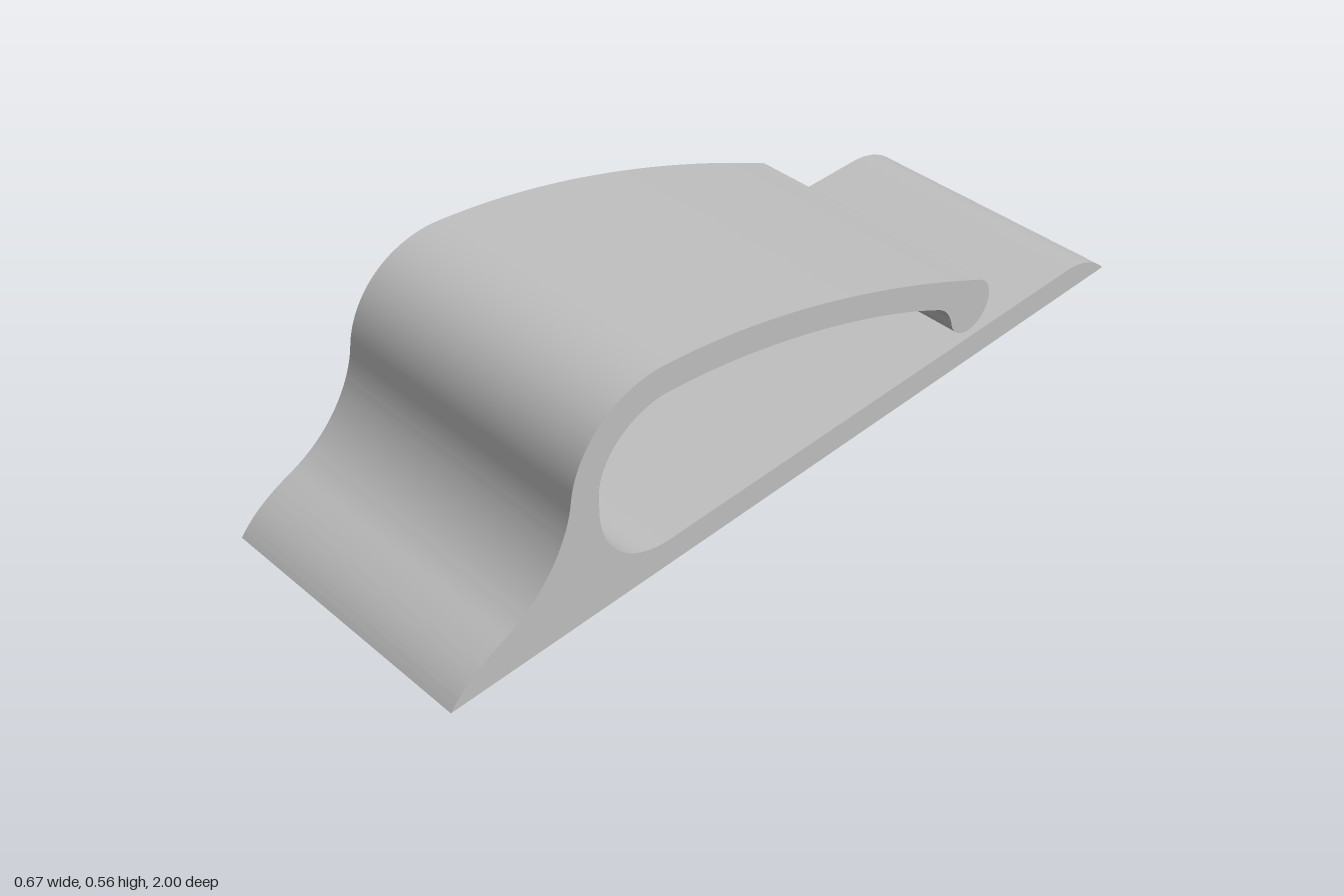
import * as THREE from 'three';
import { toCreasedNormals } from 'three/addons/utils/BufferGeometryUtils.js';

const WIDTH = 0.666;
const PAD_HEIGHT = 0.047;

// Side outline of base, hook and arm; shape x runs along the model's z
function clipProfile() {
  const s = new THREE.Shape();
  s.moveTo(1, PAD_HEIGHT);
  // front foot and concave rise
  s.bezierCurveTo(0.965, 0.09, 0.925, 0.115, 0.86, 0.142);
  s.bezierCurveTo(0.76, 0.185, 0.7, 0.28, 0.687, 0.364);
  // outer bend and top of the arm
  s.bezierCurveTo(0.672, 0.475, 0.585, 0.556, 0.46, 0.556);
  s.bezierCurveTo(0.15, 0.535, -0.2, 0.41, -0.514, 0.259);
  // rounded tip
  s.absarc(-0.487, 0.2, 0.065, THREE.MathUtils.degToRad(115), THREE.MathUtils.degToRad(350), false);
  s.quadraticCurveTo(-0.41, 0.23, -0.377, 0.248);
  // underside of the arm and inner loop
  s.bezierCurveTo(-0.13, 0.376, 0.2, 0.472, 0.447, 0.487);
  s.bezierCurveTo(0.54, 0.487, 0.618, 0.42, 0.618, 0.335);
  s.lineTo(0.618, 0.3);
  s.bezierCurveTo(0.618, 0.19, 0.54, 0.112, 0.436, 0.112);
  // base top and rear slope
  s.lineTo(-0.85, 0.112);
  s.bezierCurveTo(-0.91, 0.112, -0.965, 0.085, -1, PAD_HEIGHT);
  s.closePath();
  return s;
}

// Rounded-end pad with a round recess near each end
function padOutline() {
  const r = 0.212, end = 0.708;
  const s = new THREE.Shape();
  s.absarc(0, end, r, 0, Math.PI, false);
  s.absarc(0, -end, r, Math.PI, Math.PI * 2, false);
  s.closePath();
  for (const y of [-end, end]) {
    const hole = new THREE.Path();
    hole.absarc(0, y, 0.12, 0, Math.PI * 2, true);
    s.holes.push(hole);
  }
  return s;
}

function extrude(shape, depth) {
  const geometry = new THREE.ExtrudeGeometry(shape, { depth, bevelEnabled: false, curveSegments: 28 });
  return toCreasedNormals(geometry, 0.5);
}

export function createModel() {
  const model = new THREE.Group();
  model.name = 'clip';
  const grey = new THREE.MeshStandardMaterial({ color: 0xbfbfbf });
  grey.name = 'light grey';

  const body = new THREE.Mesh(extrude(clipProfile(), WIDTH), grey);
  body.name = 'clipBody';
  body.rotation.y = -Math.PI / 2;
  body.position.x = WIDTH / 2;
  model.add(body);

  const pad = new THREE.Mesh(extrude(padOutline(), PAD_HEIGHT), grey);
  pad.name = 'mountingPad';
  pad.rotation.x = -Math.PI / 2;
  model.add(pad);

  return model;
}
